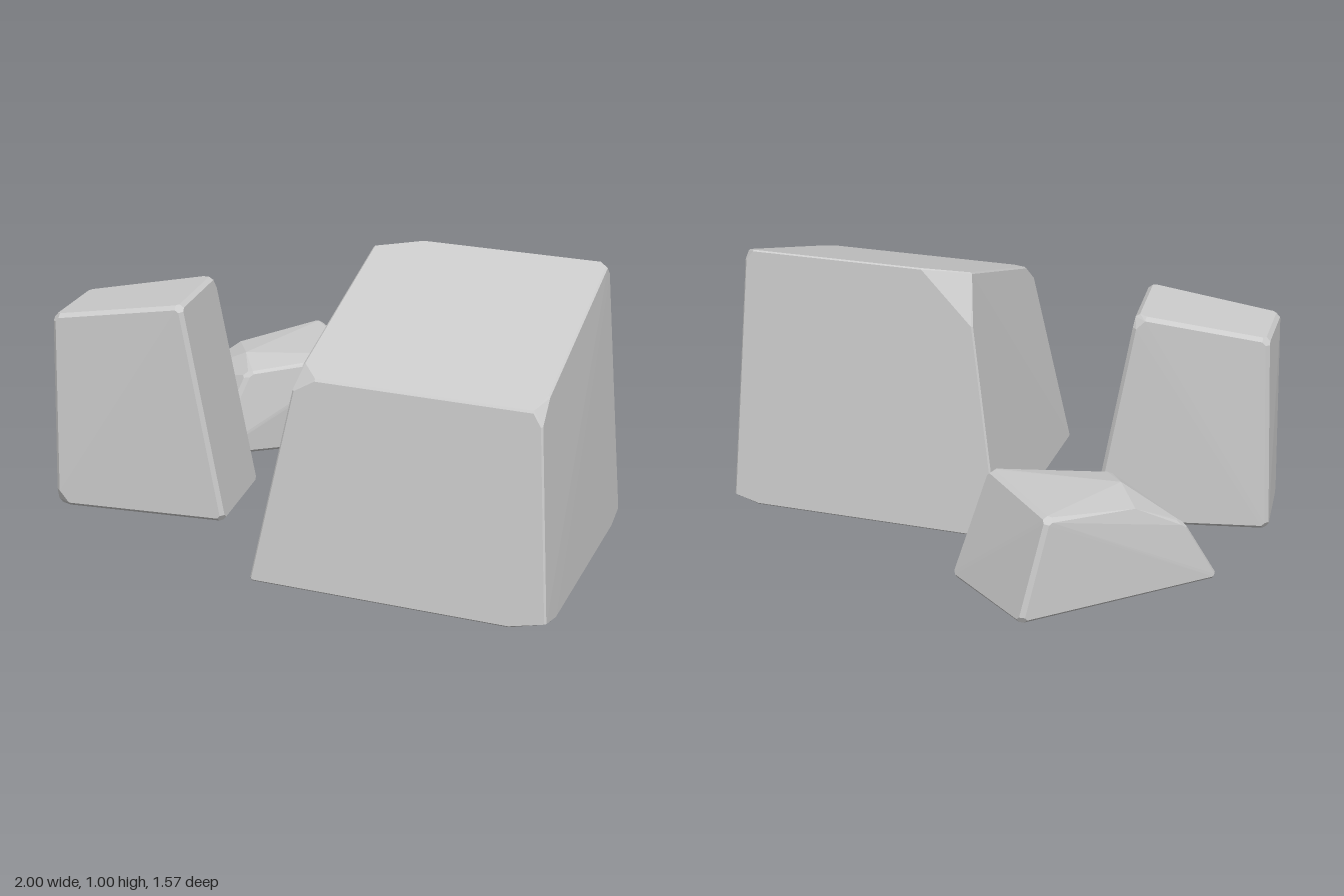
import * as THREE from 'three';
import { ConvexGeometry } from 'three/addons/geometries/ConvexGeometry.js';

const stone = new THREE.MeshStandardMaterial({ color: 0xcccccc, flatShading: true });

// Six-sided stone with worn edges. Corner index = x + 2 * z + 4 * y.
// bevel is the edge wear; chips gives longer cuts [x, z, y] for single corners.
function rock(name, corners, bevel, chips = {}, extra = []) {
  const p = corners.map(c => new THREE.Vector3(...c));
  const points = extra.map(c => new THREE.Vector3(...c));
  p.forEach((corner, i) => {
    const edges = [1, 2, 4].map(bit => p[i ^ bit].clone().sub(corner).normalize());
    const cut = chips[i] || [bevel * 1.8, bevel * 1.8, bevel * 1.8];
    for (let a = 0; a < 3; a++) {
      for (let b = 0; b < 3; b++) {
        if (a === b) continue;
        points.push(corner.clone().addScaledVector(edges[a], cut[a]).addScaledVector(edges[b], bevel));
      }
    }
  });
  const mesh = new THREE.Mesh(new ConvexGeometry(points), stone);
  mesh.name = name;
  return mesh;
}

export function createModel() {
  const group = new THREE.Group();
  group.name = 'rocks';

  // Large boulder with a top that slopes down to the front
  group.add(rock('largeRock', [
    [-0.065, 0, -0.19], [1.0, 0, -0.19], [-0.065, 0, 0.785], [1.0, 0, 0.785],
    [0.083, 1.003, -0.108], [0.938, 1.003, -0.108], [0.083, 0.75, 0.706], [0.938, 0.75, 0.706],
  ], 0.006, {
    1: [0.1, 0.11, 0.03],
    3: [0.13, 0.12, 0.035],
    4: [0.17, 0.07, 0.2],
    5: [0.03, 0.03, 0.04],
    6: [0.07, 0.08, 0.05],
    7: [0.03, 0.09, 0.05],
  }));

  // Upright stone, narrower at the top, leaning in on its inner side
  group.add(rock('uprightRock', [
    [-1.003, 0.01, 0.175], [-0.355, 0.01, 0.035], [-0.97, 0.01, 0.505], [-0.322, 0.01, 0.42],
    [-0.965, 0.76, 0.19], [-0.495, 0.84, 0.075], [-0.952, 0.76, 0.49], [-0.462, 0.84, 0.44],
  ], 0.014, {
    2: [0.05, 0.03, 0.06],
    5: [0.04, 0.03, 0.05],
  }));

  // Low stone at the back, set diagonally, with one long sloping end
  group.add(rock('lowRock', [
    [-0.915, 0.015, -0.255], [-0.335, 0.015, -0.80], [-0.61, 0.015, -0.085], [0.008, 0.015, -0.53],
    [-0.8, 0.26, -0.345], [-0.41, 0.402, -0.735], [-0.49, 0.35, -0.195], [-0.095, 0.402, -0.41],
  ], 0.014, {}, [[-0.65, 0.355, -0.48], [-0.56, 0.375, -0.33]]));

  return group;
}
